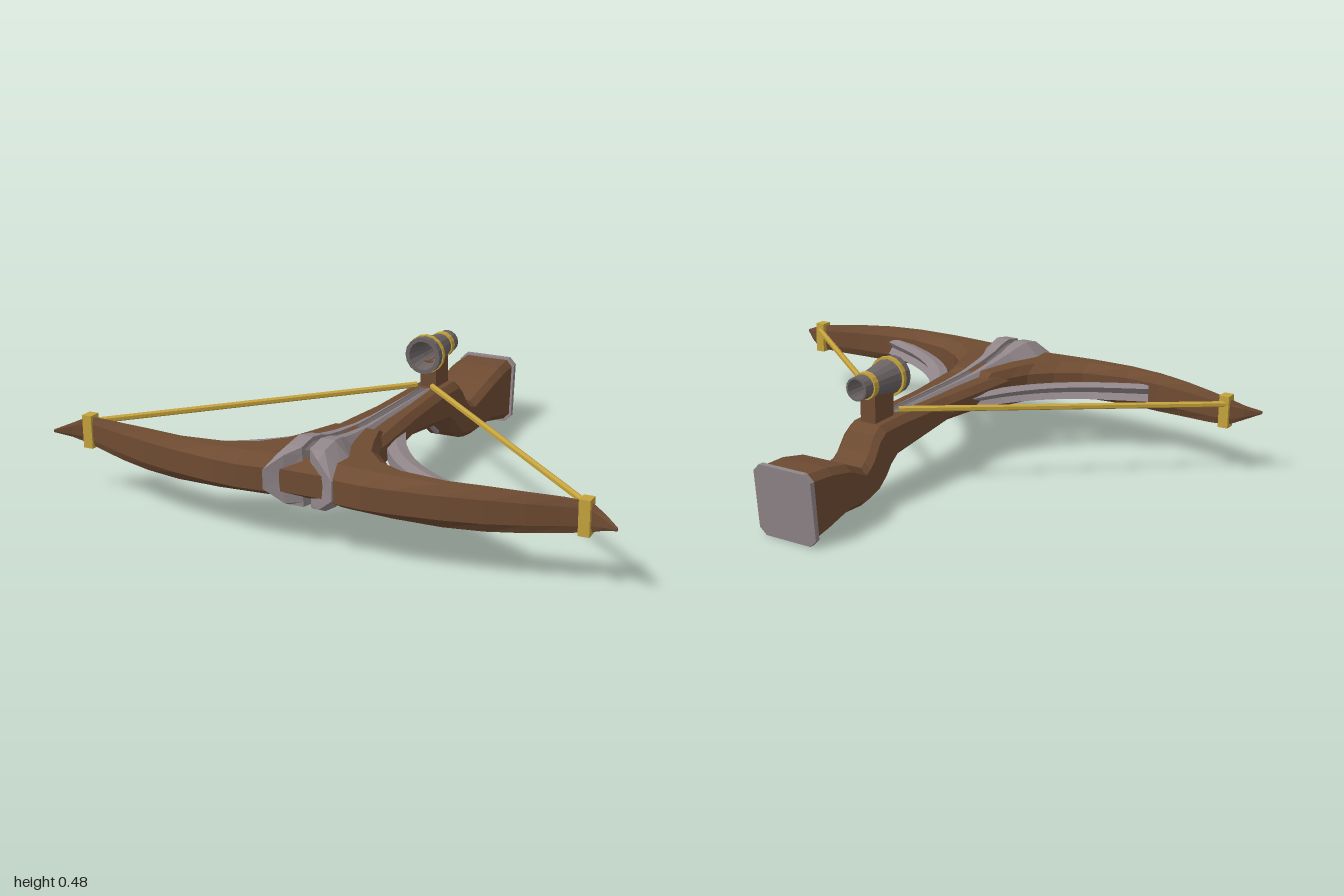
import * as THREE from 'three';

const mat = (name, color) => {
  const m = new THREE.MeshStandardMaterial({ color });
  m.name = name;
  return m;
};

// Faceted normals for any geometry
function faceted(geo) {
  const g = geo.index ? geo.toNonIndexed() : geo;
  g.computeVertexNormals();
  return g;
}

// Closed skin through rings of [x, y, z] points, turned outward by its signed volume
function loft(rings) {
  const tris = [];
  const n = rings[0].length;
  for (let i = 0; i < rings.length - 1; i++) {
    for (let j = 0; j < n; j++) {
      const k = (j + 1) % n, a = rings[i], b = rings[i + 1];
      tris.push([a[j], b[j], b[k]], [a[j], b[k], a[k]]);
    }
  }
  const cap = (ring, flip) => {
    const c = [0, 1, 2].map(d => ring.reduce((s, p) => s + p[d], 0) / n);
    for (let j = 0; j < n; j++) {
      const k = (j + 1) % n;
      tris.push(flip ? [c, ring[k], ring[j]] : [c, ring[j], ring[k]]);
    }
  };
  cap(rings[0], false);
  cap(rings[rings.length - 1], true);
  let vol = 0;
  for (const [a, b, c] of tris) {
    vol += a[0] * (b[1] * c[2] - b[2] * c[1]) + a[1] * (b[2] * c[0] - b[0] * c[2]) + a[2] * (b[0] * c[1] - b[1] * c[0]);
  }
  if (vol < 0) tris.forEach(t => t.reverse());
  const g = new THREE.BufferGeometry();
  g.setAttribute('position', new THREE.Float32BufferAttribute(tris.flat(2), 3));
  g.computeVertexNormals();
  return g;
}

// Chamfered upright section: [zTop, yTop, zBottom, yBottom, halfWidth]
function stockRing([zt, yt, zb, yb, w], c = 0.022) {
  const z = y => zb + (zt - zb) * (y - yb) / (yt - yb);
  return [[w - c, yt], [w, yt - c], [w, yb + c], [w - c, yb], [c - w, yb], [-w, yb + c], [-w, yt - c], [c - w, yt]]
    .map(([x, y]) => [x, y, z(y)]);
}

export function createModel() {
  const wood = mat('wood', 0x6e4b32);
  const steel = mat('steel', 0x91868a);
  const darkSteel = mat('dark steel', 0x6b6364);
  const gold = mat('gold', 0xc4a23c);
  const model = new THREE.Group();
  model.name = 'crossbow';
  const add = (name, geo, material, pos) => {
    const m = new THREE.Mesh(geo, material);
    m.name = name;
    if (pos) m.position.set(...pos);
    model.add(m);
    return m;
  };

  // Stock with neck and butt
  add('stock', loft([
    [0.64, 0.30, 0.64, 0.175, 0.10],
    [0.40, 0.295, 0.40, 0.192, 0.12],
    [0.20, 0.292, 0.20, 0.202, 0.10],
    [0.08, 0.29, 0.08, 0.204, 0.087],
    [-0.20, 0.29, -0.24, 0.156, 0.075],
    [-0.31, 0.286, -0.27, 0.125, 0.074],
    [-0.345, 0.262, -0.30, 0.09, 0.075],
    [-0.38, 0.21, -0.345, 0.06, 0.078],
    [-0.405, 0.187, -0.39, 0.049, 0.08],
    [-0.435, 0.177, -0.44, 0.046, 0.086],
    [-0.55, 0.228, -0.55, 0.063, 0.107],
    [-0.65, 0.248, -0.64, 0.043, 0.11],
    [-0.755, 0.253, -0.73, 0.02, 0.104],
  ].map(s => stockRing(s))), wood);

  // Butt plate
  add('buttPlate', loft([
    stockRing([-0.75, 0.26, -0.724, 0.01, 0.113], 0.025),
    stockRing([-0.771, 0.26, -0.742, 0.01, 0.113], 0.025),
  ]), steel);

  // Bow limbs: [x, zFront, zBack, halfHeight], mirrored through the middle
  const limb = [
    [0.08, 0.74, 0.30, 0.068], [0.12, 0.755, 0.42, 0.07], [0.15, 0.76, 0.495, 0.07],
    [0.22, 0.765, 0.57, 0.07], [0.31, 0.76, 0.625, 0.07], [0.47, 0.738, 0.662, 0.07],
    [0.60, 0.71, 0.652, 0.069], [0.72, 0.675, 0.635, 0.063], [0.82, 0.64, 0.613, 0.056],
    [0.90, 0.616, 0.598, 0.047], [0.95, 0.636, 0.62, 0.025], [1, 0.668, 0.658, 0.005],
  ];
  const limbRing = ([x, zf, zb, h]) => {
    const c = Math.min(0.055, 0.32 * (zf - zb)), e = 0.55 * h, y = 0.242;
    return [[zf, e], [zf - c, h], [zb + c, h], [zb, e], [zb, -e], [zb + c, -h], [zf - c, -h], [zf, -e]]
      .map(([z, dy]) => [x, y + dy, z]);
  };
  const mirrored = limb.map(([x, ...r]) => [-x, ...r]).reverse();
  add('bow', loft([...mirrored, ...limb].map(limbRing)), wood);

  // Rail flowing into the head clamp: [z, halfWidth, yTop, yBottom]
  const rail = [
    [-0.17, 0.03, 0.296, 0.25], [0, 0.038, 0.298, 0.24], [0.2, 0.045, 0.302, 0.22],
    [0.32, 0.058, 0.307, 0.195], [0.45, 0.076, 0.322, 0.176], [0.53, 0.09, 0.336, 0.16],
    [0.575, 0.108, 0.35, 0.145], [0.63, 0.128, 0.36, 0.137], [0.70, 0.13, 0.348, 0.148],
    [0.735, 0.122, 0.325, 0.165],
  ];
  for (const s of [1, -1]) {
    const side = s > 0 ? 'left' : 'right';
    const rings = rail.map(([z, w, yt, yb], i) => {
      const cy = Math.min(0.065, (yt - yb) * 0.3), xm = w * 0.5;
      const last = i === rail.length - 1;
      return [[0.014, yt], [xm, yt], [w, yt - cy], [w, yb + cy], [xm, yb], [0.014, yb]]
        .map(([x, y]) => [s * x, y, last ? 0.69 + Math.min(0.075, x * 0.75) : z]);
    });
    add(side + 'HeadClamp', loft(rings), steel);

    // Curved brace with a groove along its outer face
    const path = new THREE.CatmullRomCurve3([
      [0.065, 0.20], [0.14, 0.345], [0.235, 0.465], [0.36, 0.563], [0.56, 0.665],
    ].map(([x, z]) => new THREE.Vector3(x, 0.238, z)));
    const braceRings = [];
    for (let i = 0; i <= 9; i++) {
      const p = path.getPoint(i / 9), t = path.getTangent(i / 9);
      const h = 0.022 + 0.008 * i / 9;
      braceRings.push([[-0.034, h * 0.8], [0, h * 1.1], [0.034, h * 0.8], [0.018, 0], [0.034, -h * 0.8], [0, -h * 1.1], [-0.034, -h * 0.8]]
        .map(([n, y]) => [s * (p.x + t.z * n), p.y + y, p.z - t.x * n]));
    }
    add(side + 'Brace', loft(braceRings), steel);

    // Gold binding and half of the string
    add(side + 'Binding', new THREE.BoxGeometry(0.036, 0.116, 0.044), gold, [s * 0.887, 0.244, 0.61]);
    const string = new THREE.LineCurve3(new THREE.Vector3(s * 0.89, 0.272, 0.595), new THREE.Vector3(s * 0.03, 0.303, -0.17));
    add(side + 'String', faceted(new THREE.TubeGeometry(string, 1, 0.011, 6)), gold);
  }

  // Strip at the bottom of the groove between the clamp halves
  add('grooveStrip', loft(rail.map(([z, , yt, yb], i) => {
    const d = i < 4 ? 0.004 : 0.014, zz = Math.min(z, 0.68 + i * 0.0005);
    return [[0.016, yt - d], [0.016, yb + d], [-0.016, yb + d], [-0.016, yt - d]].map(([x, y]) => [x, y, zz]);
  })), darkSteel);

  // Trigger
  const trigger = new THREE.CatmullRomCurve3([
    [0.175, -0.18], [0.148, -0.2], [0.134, -0.225], [0.112, -0.25], [0.092, -0.28],
  ].map(([y, z]) => new THREE.Vector3(0, y, z)));
  add('trigger', faceted(new THREE.TubeGeometry(trigger, 8, 0.009, 6)), steel);
  add('triggerTip', new THREE.SphereGeometry(0.009, 6, 4), steel, [0, 0.092, -0.28]);

  // Scope: wooden mount, hollow tapered tube and two gold bands
  add('scopeMount', new THREE.BoxGeometry(0.06, 0.11, 0.105), wood, [0, 0.33, -0.2525]);
  const tube = [
    [0.034, -0.37], [0.041, -0.37], [0.042, -0.31], [0.059, -0.2], [0.066, -0.18],
    [0.067, -0.15], [0.052, -0.15], [0.034, -0.22], [0.034, -0.37],
  ].map(([r, z]) => new THREE.Vector2(r, z));
  const scope = add('scopeTube', faceted(new THREE.LatheGeometry(tube, 16)), darkSteel, [0, 0.418, 0]);
  scope.rotation.x = Math.PI / 2;
  for (const [name, z, r, len] of [['frontScopeBand', -0.185, 0.07, 0.015], ['rearScopeBand', -0.316, 0.047, 0.024]]) {
    const band = [[r - 0.012, -len / 2], [r, -len / 2], [r, len / 2], [r - 0.012, len / 2], [r - 0.012, -len / 2]]
      .map(p => new THREE.Vector2(...p));
    add(name, faceted(new THREE.LatheGeometry(band, 16)), gold, [0, 0.418, z]).rotation.x = Math.PI / 2;
  }
  return model;
}
